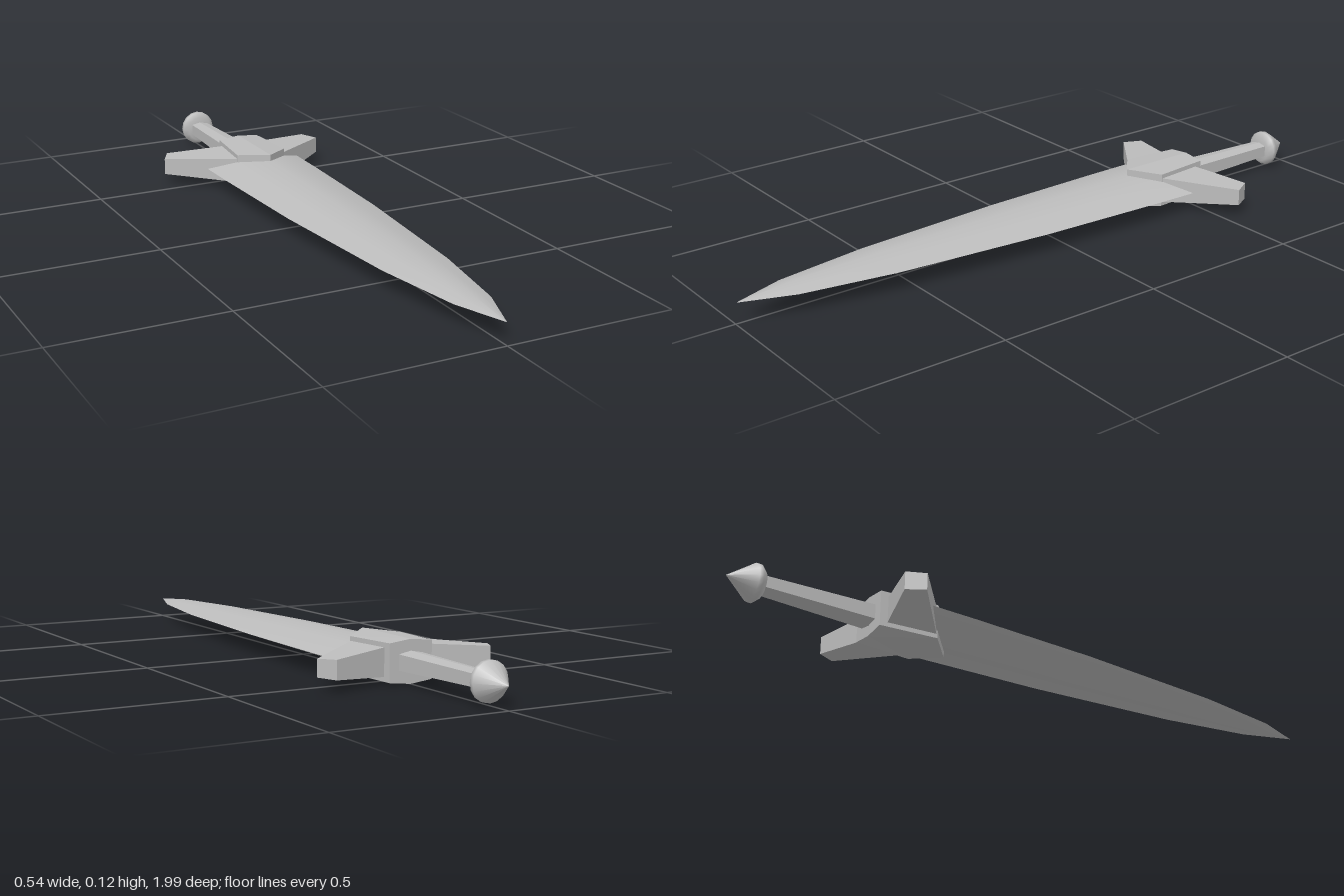
import * as THREE from 'three';
import { ConvexGeometry } from 'three/addons/geometries/ConvexGeometry.js';

const MID = 0.06; // height of the sword's flat centre plane

export function createModel() {
  const sword = new THREE.Group();
  sword.name = 'sword';
  const steel = new THREE.MeshStandardMaterial({ color: 0xbcbcbc });
  steel.name = 'steel grey';

  const add = (name, geometry) => {
    const mesh = new THREE.Mesh(geometry, steel);
    mesh.name = name;
    mesh.position.y = MID;
    sword.add(mesh);
    return mesh;
  };

  // Faceted solid from points [x, y, z], mirrored above and below the centre plane
  const facetedSolid = (points) => new ConvexGeometry(
    points.flatMap(([x, y, z]) => [new THREE.Vector3(x, y, z), new THREE.Vector3(x, -y, z)]));

  // Blade: smooth lens-shaped halves meeting at a sharp edge; [z, half width, half thickness]
  const stations = [
    [-0.47, 0.157, 0.041], [-0.32, 0.154, 0.04], [0.08, 0.139, 0.035],
    [0.56, 0.1, 0.025], [0.84, 0.055, 0.015], [0.995, 0, 0],
  ];
  const across = [[-1, 0], [-0.5, 0.7], [0, 1], [0.5, 0.7], [1, 0]];
  const half = new THREE.PlaneGeometry(1, 1, across.length - 1, stations.length - 1);
  stations.forEach(([z, w, h], row) => across.forEach(([u, v], col) => {
    half.attributes.position.setXYZ(row * across.length + col, u * w, v * h, z);
  }));
  half.computeVertexNormals();
  add('bladeUpper', half);
  add('bladeLower', half).rotation.z = Math.PI;

  // Guard block: ridged top and bottom, pointed towards the blade
  add('guardBlock', facetedSolid([
    [0, 0.06, -0.573], [0, 0.06, -0.33],
    ...[-1, 1].flatMap((s) => [[s * 0.066, 0.0525, -0.573], [s * 0.081, 0.051, -0.4]]),
  ]));

  // Guard arms: tapering and swept back towards the grip
  for (const s of [-1, 1]) {
    add(s > 0 ? 'leftGuardArm' : 'rightGuardArm', facetedSolid([
      [s * 0.03, 0.042, -0.54], [s * 0.03, 0.042, -0.365],
      [s * 0.24, 0.0265, -0.597], [s * 0.268, 0.0245, -0.545],
    ]));
  }

  // Grip: six-sided and slimmer towards the pommel
  add('grip', facetedSolid([[-0.55, 0.038, 0.029], [-0.91, 0.027, 0.022]].flatMap(([z, w, h]) => [
    [0, h, z], [-w, h * 0.75, z], [w, h * 0.75, z],
  ])));

  // Pommel: collar flaring to a rim, then a cone
  const profile = [[0, 0], [0.04, 0], [0.054, 0.015], [0.054, 0.027], [0, 0.1]]
    .map(([r, y]) => new THREE.Vector2(r, y));
  add('pommel', new THREE.LatheGeometry(profile, 16).rotateX(-Math.PI / 2).translate(0, 0, -0.897));

  return sword;
}
